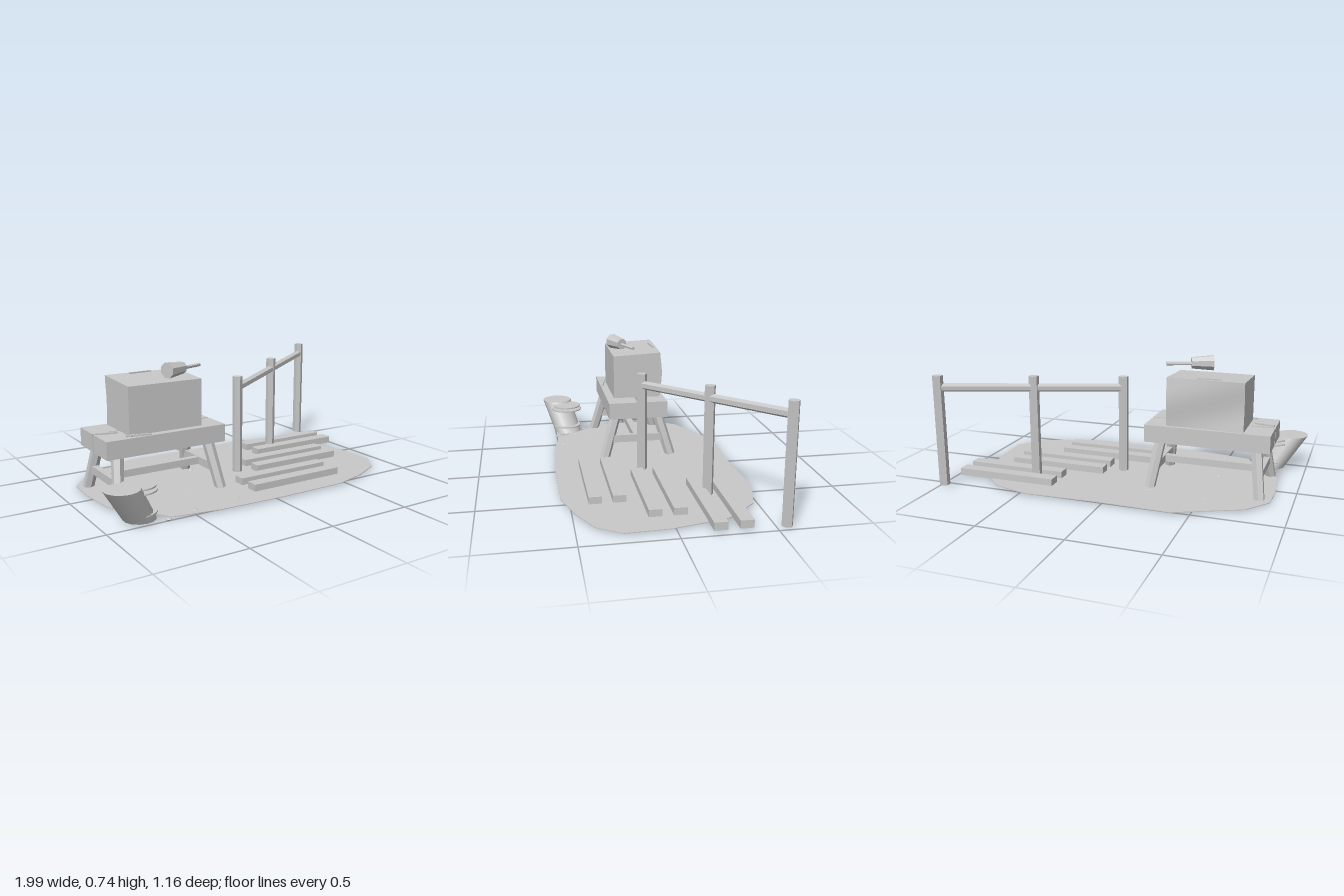
import * as THREE from 'three';

const grey = new THREE.MeshStandardMaterial({ color: 0xc8c8c8 });
grey.name = 'plain grey';
const V = (x, y, z) => new THREE.Vector3(x, y, z);

export function createModel() {
  const model = new THREE.Group();
  model.name = 'workYard';

  const add = (name, geometry, x = 0, y = 0, z = 0) => {
    const mesh = new THREE.Mesh(geometry, grey);
    mesh.name = name;
    mesh.position.set(x, y, z);
    model.add(mesh);
    return mesh;
  };

  // Box from its limits on each axis
  const box = (name, x0, x1, y0, y1, z0, z1) =>
    add(name, new THREE.BoxGeometry(x1 - x0, y1 - y0, z1 - z0),
      (x0 + x1) / 2, (y0 + y1) / 2, (z0 + z1) / 2);

  // Faceted pole between two points
  const pole = (name, a, b, rStart, rEnd, sides = 6) => {
    const dir = b.clone().sub(a);
    let g = new THREE.CylinderGeometry(rEnd, rStart, dir.length(), sides).toNonIndexed();
    g.computeVertexNormals();
    const mesh = add(name, g);
    mesh.position.copy(a).add(b).multiplyScalar(0.5);
    mesh.quaternion.setFromUnitVectors(V(0, 1, 0), dir.normalize());
    return mesh;
  };

  // Ground patch
  const outline = [
    [-0.77, -0.36], [-0.40, -0.53], [0.03, -0.52], [0.46, -0.535], [0.68, -0.47],
    [0.84, -0.29], [0.91, 0.02], [0.92, 0.27], [0.83, 0.40], [0.655, 0.485],
    [0.45, 0.545], [0.035, 0.55], [-0.355, 0.535], [-0.63, 0.49], [-0.72, 0.36],
    [-0.86, 0.19], [-0.885, -0.05], [-0.88, -0.22],
  ].map(([x, z]) => new THREE.Vector2(x, -z));
  const ground = new THREE.ExtrudeGeometry(new THREE.Shape(outline), { depth: 0.004, bevelEnabled: false });
  ground.rotateX(-Math.PI / 2);
  add('ground', ground, 0, 0.011, 0);

  // Bench: two planks, four splayed legs and stretchers
  box('benchPlankBack', -0.858, -0.132, 0.273, 0.374, -0.165, 0.008);
  box('benchPlankFront', -0.858, -0.132, 0.273, 0.374, 0.022, 0.2);
  for (const sx of [-1, 1]) {
    for (const sz of [-1, 1]) {
      pole('benchLeg', V(-0.498 + sx * 0.318, 0.01, 0.017 + sz * 0.21),
        V(-0.498 + sx * 0.278, 0.285, 0.017 + sz * 0.13), 0.032, 0.034);
    }
    const x = -0.498 + sx * 0.3;
    box('endStretcher', x - 0.018, x + 0.018, 0.106, 0.152, -0.15, 0.185);
  }
  box('longStretcher', -0.79, -0.205, 0.108, 0.149, -0.002, 0.038);

  // Block on the bench, with a slightly sloping top and an uneven back
  const block = new THREE.BoxGeometry(0.446, 0.276, 0.30, 8, 8, 6);
  const p = block.attributes.position;
  for (let i = 0; i < p.count; i++) {
    const x = p.getX(i), y = p.getY(i), z = p.getZ(i);
    const back = Math.max(0, -z / 0.15);
    p.setY(i, y + (y > 0.13 ? -z * 0.05 : 0));
    p.setZ(i, z - back * 0.007 * Math.sin(y * 18 + x * 6));
  }
  block.computeVertexNormals();
  add('block', block, -0.482, 0.512, 0.003);
  const chip = box('blockTopSliver', -0.57, -0.43, 0.655, 0.664, -0.131, -0.121);
  chip.rotation.y = 0.06;

  // Mallet lying on the block
  pole('malletHead', V(-0.462, 0.703, 0.133), V(-0.342, 0.703, 0.088), 0.046, 0.034, 8);
  pole('malletHandle', V(-0.35, 0.7, 0.091), V(-0.205, 0.7, 0.037), 0.011, 0.011);

  // Shavings on the bench
  const shavings = [[-0.66, 0.175, 0.14, -0.2], [-0.68, 0.155, 0.07, 0.6], [-0.79, 0.05, 0.12, -0.25]];
  for (const [x, z, length, turn] of shavings) {
    add('shaving', new THREE.BoxGeometry(length, 0.009, 0.013), x, 0.379, z).rotation.y = turn;
  }

  // Rail fence with three posts
  pole('fencePost', V(0.062, 0.012, 0.03), V(0.062, 0.605, 0.03), 0.03, 0.03);
  pole('fencePost', V(0.514, 0.012, -0.26), V(0.514, 0.635, -0.26), 0.03, 0.03);
  pole('fencePost', V(0.97, 0.012, -0.55), V(0.97, 0.664, -0.55), 0.03, 0.03);
  pole('fenceRail', V(0.062, 0.537, 0.03), V(0.97, 0.594, -0.55), 0.025, 0.025);

  // Boards laid on the ground in three stepped pairs
  [[0.36, -0.345], [0.36, -0.21], [0.155, -0.053], [0.155, 0.08], [-0.06, 0.235], [-0.06, 0.367]]
    .forEach(([x, z]) => box('board', x, x + 0.606, 0.012, 0.055, z - 0.036, z + 0.036));

  // Leaning bucket: a tapered drum sheared sideways, with upright hoops
  const drum = new THREE.CylinderGeometry(0.096, 0.088, 0.198, 14);
  drum.applyMatrix4(new THREE.Matrix4().set(
    1, -0.62, 0, 0,
    0, 1, 0, 0,
    0, 0.33, 1, 0,
    0, 0, 0, 1));
  add('bucket', drum, -0.843, 0.112, 0.448);
  for (const [y, r] of [[0.194, 0.093], [0.171, 0.099], [0.055, 0.096]]) {
    add('bucketHoop', new THREE.CylinderGeometry(r, r, 0.008, 18), -0.787, y, 0.42);
  }

  // Pebbles scattered around the bench
  const pebbles = [
    [-0.69, 0.27, 0.015], [-0.66, 0.5, 0.016], [-0.485, 0.465, 0.02], [-0.71, 0.21, 0.013],
    [-0.2, 0.43, 0.015], [-0.305, 0.28, 0.012], [-0.53, -0.27, 0.016], [-0.18, -0.25, 0.014],
    [-0.39, 0.2, 0.015], [-0.52, 0.12, 0.018], [-0.24, 0.13, 0.014], [-0.17, -0.14, 0.018],
    [-0.7, 0.37, 0.015], [-0.8, 0.3, 0.015],
  ];
  pebbles.forEach(([x, z, r], i) => {
    const pebble = add('pebble', new THREE.IcosahedronGeometry(r, 0), x, 0.011, z);
    pebble.scale.y = 0.5;
    pebble.rotation.y = i * 1.3;
  });

  return model;
}
